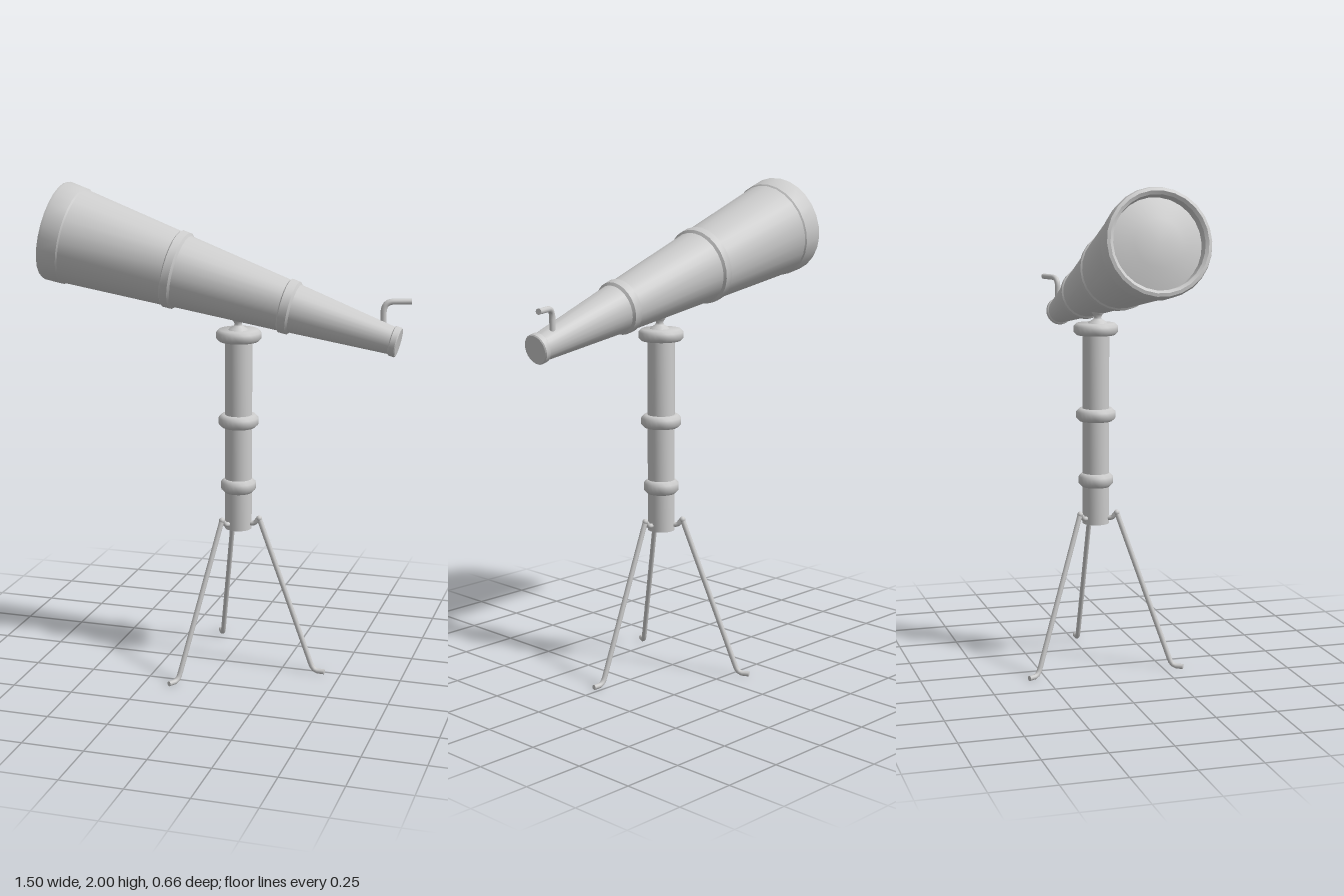
import * as THREE from 'three';
import { toCreasedNormals, mergeGeometries } from 'three/addons/utils/BufferGeometryUtils.js';

const material = new THREE.MeshStandardMaterial({ color: 0xcccccc });
const V = (x, y, z = 0) => new THREE.Vector3(x, y, z);

function addMesh(parent, name, geometry) {
  const mesh = new THREE.Mesh(geometry, material);
  mesh.name = name;
  parent.add(mesh);
  return mesh;
}

// Turned part from [radius, height] pairs, listed from the bottom up
const turned = (points, sides = 24) =>
  new THREE.LatheGeometry(points.map(([r, y]) => new THREE.Vector2(r, y)), sides);

// Straight - bend - straight rod with closed ends
function bentRod(start, bendIn, corner, bendOut, end, radius) {
  const path = new THREE.CurvePath();
  path.add(new THREE.LineCurve3(start, bendIn));
  path.add(new THREE.QuadraticBezierCurve3(bendIn, corner, bendOut));
  path.add(new THREE.LineCurve3(bendOut, end));
  const parts = [new THREE.TubeGeometry(path, 48, radius, 10)];
  for (const [point, from] of [[start, bendIn], [end, bendOut]]) {
    const cap = new THREE.CircleGeometry(radius, 10);
    const direction = point.clone().sub(from).normalize();
    cap.applyQuaternion(new THREE.Quaternion().setFromUnitVectors(V(0, 0, 1), direction));
    cap.translate(point.x, point.y, point.z);
    parts.push(cap);
  }
  return mergeGeometries(parts);
}

// Rounded collar profile
const collar = (r, y0, y1, inner) => {
  const b = (y1 - y0) * 0.25;
  return [[inner, y0], [r - b, y0], [r, y0 + b], [r, y1 - b], [r - b, y1], [inner, y1]];
};

export function createModel() {
  const model = new THREE.Group();
  model.name = 'telescope';

  // Tapered barrel in three stages; heights run along x, sections lean slightly
  const barrel = turned([
    [0, -0.7], [0.09, -0.693], [0.172, -0.672],
    [0.176, -0.704], [0.188, -0.712], [0.2, -0.708], [0.205, -0.695],
    [0.2, -0.628], [0.195, -0.622],
    [0.153, -0.212], [0.159, -0.207], [0.157, -0.178], [0.147, -0.17],
    [0.104, 0.252], [0.11, 0.257], [0.108, 0.288], [0.098, 0.296],
    [0.055, 0.684], [0.06, 0.688], [0.06, 0.708], [0.056, 0.712], [0, 0.712],
  ], 26);
  barrel.applyMatrix4(new THREE.Matrix4().makeBasis(
    V(0.215, 0.977), V(1, -0.27), V(0, 0, -1)));
  const tube = addMesh(model, 'barrel', toCreasedNormals(barrel, 0.5));
  tube.position.set(0, 1.611, 0.028);

  // Cranked sight rod near the narrow end
  addMesh(model, 'sightRod', bentRod(
    V(0.645, 1.44, 0.004), V(0.645, 1.53, 0.004), V(0.645, 1.573, 0.004),
    V(0.68, 1.573, -0.009), V(0.747, 1.573, -0.034), 0.012));

  // Stand: everything below is centred on the column axis
  const stand = new THREE.Group();
  stand.name = 'stand';
  stand.position.set(0.058, 0, 0.008);
  model.add(stand);

  addMesh(stand, 'column', toCreasedNormals(
    turned([[0, 0.6], [0.055, 0.6], [0.055, 1.4], [0, 1.4]]), 0.5));
  for (const [name, r, y0, y1] of [
    ['lowerCollar', 0.071, 0.755, 0.812],
    ['upperCollar', 0.081, 1.03, 1.082],
    ['topPlate', 0.091, 1.385, 1.432],
  ]) {
    const inner = name === 'topPlate' ? 0 : 0.05;
    addMesh(stand, name, toCreasedNormals(turned(collar(r, y0, y1, inner)), 0.9));
  }

  // Waisted pivot between plate and barrel
  const pivot = addMesh(stand, 'pivot', turned([
    [0.045, 1.425], [0.035, 1.438], [0.018, 1.448], [0.014, 1.456],
    [0.02, 1.468], [0.032, 1.485], [0.032, 1.51],
  ], 16));
  pivot.position.z = 0.008;

  // Three splayed legs with hinge brackets and turned-out feet
  for (let i = 0; i < 3; i++) {
    const leg = new THREE.Group();
    leg.name = 'leg' + (i + 1);
    leg.rotation.y = -THREE.MathUtils.degToRad(2 + i * 120);
    stand.add(leg);
    addMesh(leg, 'legRod', bentRod(
      V(0.09, 0.648), V(0.317, 0.042), V(0.328, 0.011),
      V(0.35, 0.011), V(0.376, 0.011), 0.0105));
    addMesh(leg, 'hingeKnuckle', new THREE.SphereGeometry(0.0125, 12, 8))
      .position.set(0.09, 0.648, 0);
    addMesh(leg, 'hingeBracket', bentRod(
      V(0.045, 0.625), V(0.06, 0.625), V(0.07, 0.625),
      V(0.076, 0.633), V(0.088, 0.648), 0.01));
  }
  return model;
}
